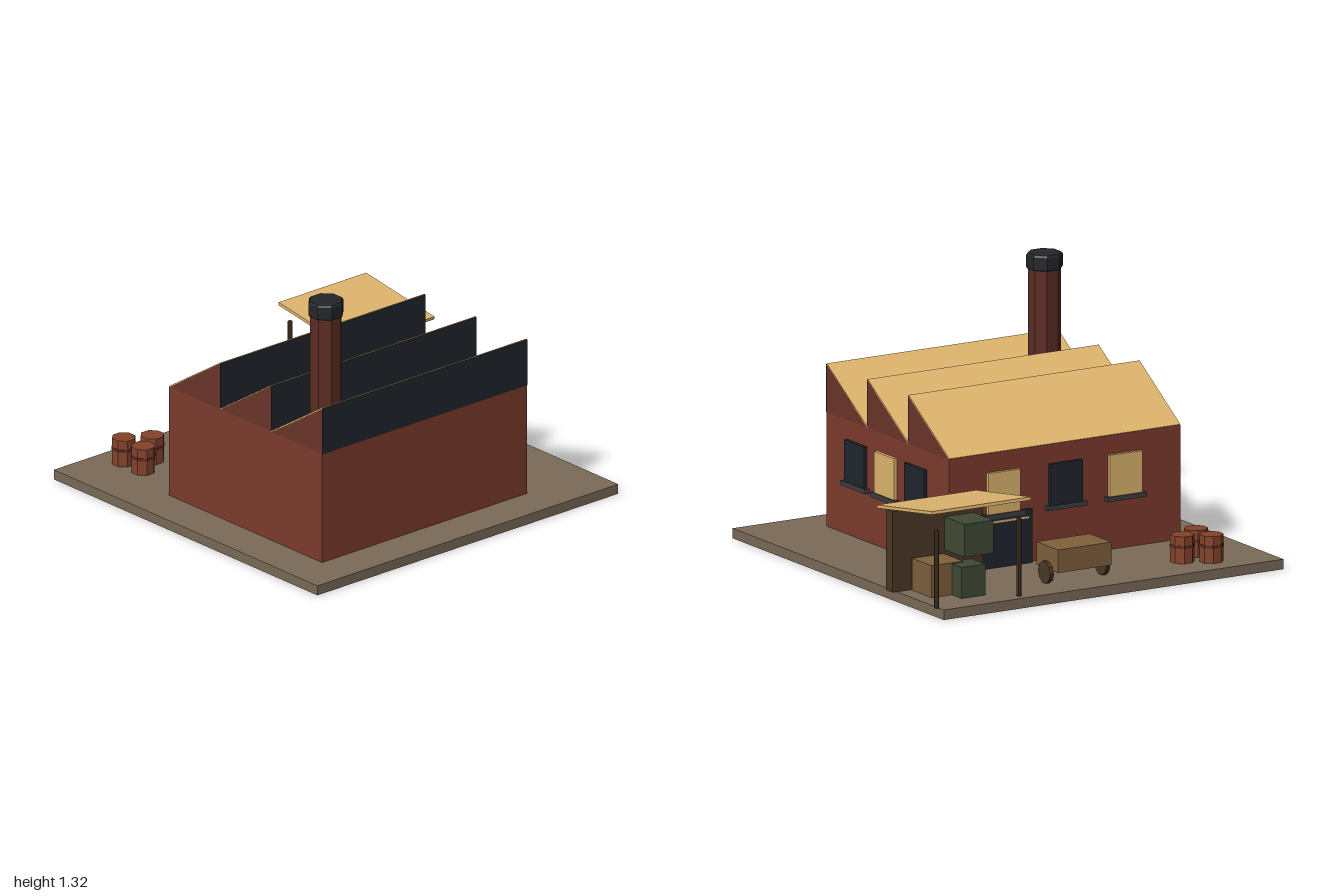
import * as THREE from 'three';

const mat = (color) => new THREE.MeshStandardMaterial({ color, flatShading: true });
const M = {
  ground: mat(0x7a6a58), brick: mat(0x7d3b2d), gable: mat(0x6a352a), tan: mat(0xdfb56e),
  dark: mat(0x20252d), sill: mat(0x3c3f42), wood: mat(0x4c3826), crate: mat(0x80603c),
  green: mat(0x404a34), rust: mat(0x84432b), stack: mat(0x5c2c24), metal: mat(0x24262a),
};

export function createModel() {
  const root = new THREE.Group();

  const add = (name, geo, material, x, y, z, parent = root) => {
    const m = new THREE.Mesh(geo, material);
    m.name = name;
    m.position.set(x, y, z);
    parent.add(m);
    return m;
  };
  // box given by its extents on each axis
  const box = (name, material, x0, x1, y0, y1, z0, z1, parent) =>
    add(name, new THREE.BoxGeometry(x1 - x0, y1 - y0, z1 - z0), material,
      (x0 + x1) / 2, (y0 + y1) / 2, (z0 + z1) / 2, parent);
  // upright octagonal prism with flat sides facing the axes
  const octagon = (name, material, halfWidth, x, y0, y1, z, parent) => {
    const r = halfWidth / Math.cos(Math.PI / 8);
    const m = add(name, new THREE.CylinderGeometry(r, r, y1 - y0, 8), material, x, (y0 + y1) / 2, z, parent);
    m.rotation.y = Math.PI / 8;
    return m;
  };

  box('groundSlab', M.ground, -1, 0.94, 0, 0.05, -0.97, 0.97);
  box('hallWalls', M.brick, -0.79, 0.53, 0.05, 0.62, -0.36, 0.765);

  // sawtooth roof: brick gables, glazed front, sloping back
  const run = 0.375, rise = 0.24, width = 1.32, midX = -0.13;
  const tri = new THREE.Shape([
    new THREE.Vector2(0, 0), new THREE.Vector2(run, 0), new THREE.Vector2(0, rise),
  ]);
  const toothGeo = new THREE.ExtrudeGeometry(tri, { depth: width, bevelEnabled: false });
  toothGeo.rotateY(Math.PI / 2); // shape x becomes -z, depth becomes +x
  for (let i = 0; i < 3; i++) {
    const z = 0.765 - i * run;
    const tooth = new THREE.Group();
    tooth.name = 'roofTooth';
    root.add(tooth);
    add('gable', toothGeo, M.gable, -0.79, 0.62, z, tooth);
    box('roofGlazing', M.dark, -0.79, 0.53, 0.62, 0.86, z - 0.002, z + 0.004, tooth);
    const slope = add('roofSlope', new THREE.BoxGeometry(width, 0.006, Math.hypot(run, rise)),
      M.tan, midX, 0.62 + rise / 2 + 0.001, z - run / 2, tooth);
    slope.rotation.x = -Math.atan2(rise, run);
  }

  // chimney with a bevelled cap
  octagon('chimney', M.stack, 0.075, -0.59, 0.55, 1.24, 0.565);
  const capPoints = [[0, 0], [0.083, 0], [0.09, 0.01], [0.09, 0.07], [0.083, 0.08], [0, 0.08]];
  const cap = add('chimneyCap',
    new THREE.LatheGeometry(capPoints.map((p) => new THREE.Vector2(...p)), 8),
    M.metal, -0.59, 1.235, 0.565);
  cap.rotation.y = Math.PI / 8;

  // windows face local +z and are turned onto their wall
  const addWindow = (lit, x, z, turn) => {
    const w = new THREE.Group();
    w.name = lit ? 'litWindow' : 'darkWindow';
    box('pane', lit ? M.tan : M.dark, -0.092, 0.092, 0.315, 0.525, -0.01, 0.018, w);
    box('windowSill', M.sill, -0.113, 0.113, 0.295, 0.318, -0.01, 0.026, w);
    w.position.set(x, 0, z);
    w.rotation.y = turn;
    root.add(w);
  };
  [0.485, 0.21, -0.065].forEach((z, i) => addWindow(i === 1, 0.53, z, Math.PI / 2));
  [-0.47, -0.13, 0.225].forEach((x, i) => addWindow(i !== 1, x, -0.36, Math.PI));

  // loading door in the back wall
  box('loadingDoor', M.dark, 0.068, 0.39, 0.05, 0.318, -0.383, -0.35);
  box('doorStrip', M.tan, 0.09, 0.34, 0.275, 0.285, -0.387, -0.38);

  // lean-to shelter
  const shelter = new THREE.Group();
  shelter.name = 'shelter';
  root.add(shelter);
  box('shelterWall', M.wood, 0.45, 0.965, 0.05, 0.455, -0.54, -0.48, shelter);
  for (const x of [0.48, 0.95]) {
    add('shelterPost', new THREE.CylinderGeometry(0.012, 0.012, 0.39, 8), M.wood, x, 0.245, -0.92, shelter);
  }
  const canopy = add('shelterRoof', new THREE.BoxGeometry(0.565, 0.016, 0.508), M.tan,
    0.712, 0.5, -0.697, shelter);
  canopy.rotation.x = Math.atan2(0.072, 0.5);

  // stored crates
  box('woodCrate', M.crate, 0.68, 0.86, 0.05, 0.21, -0.73, -0.55);
  box('lowGreenCrate', M.green, 0.61, 0.745, 0.05, 0.205, -0.82, -0.69);
  box('topGreenCrate', M.green, 0.535, 0.7, 0.24, 0.405, -0.775, -0.59);

  // handcart
  const cart = new THREE.Group();
  cart.name = 'cart';
  root.add(cart);
  box('cartBody', M.crate, -0.08, 0.225, 0.12, 0.235, -0.87, -0.67, cart);
  for (const x of [-0.088, 0.233]) {
    const wheel = add('cartWheel', new THREE.CylinderGeometry(0.056, 0.056, 0.022, 10), M.wood,
      x, 0.106, -0.772, cart);
    wheel.rotation.z = Math.PI / 2;
  }

  // oil drums, each with a dark hoop
  for (const [x, z] of [[-0.685, -0.815], [-0.562, -0.745], [-0.685, -0.672]]) {
    const drum = new THREE.Group();
    drum.name = 'barrel';
    root.add(drum);
    octagon('barrelBody', M.rust, 0.055, x, 0.05, 0.185, z, drum);
    octagon('barrelHoop', M.stack, 0.058, x, 0.125, 0.138, z, drum);
  }

  return root;
}
